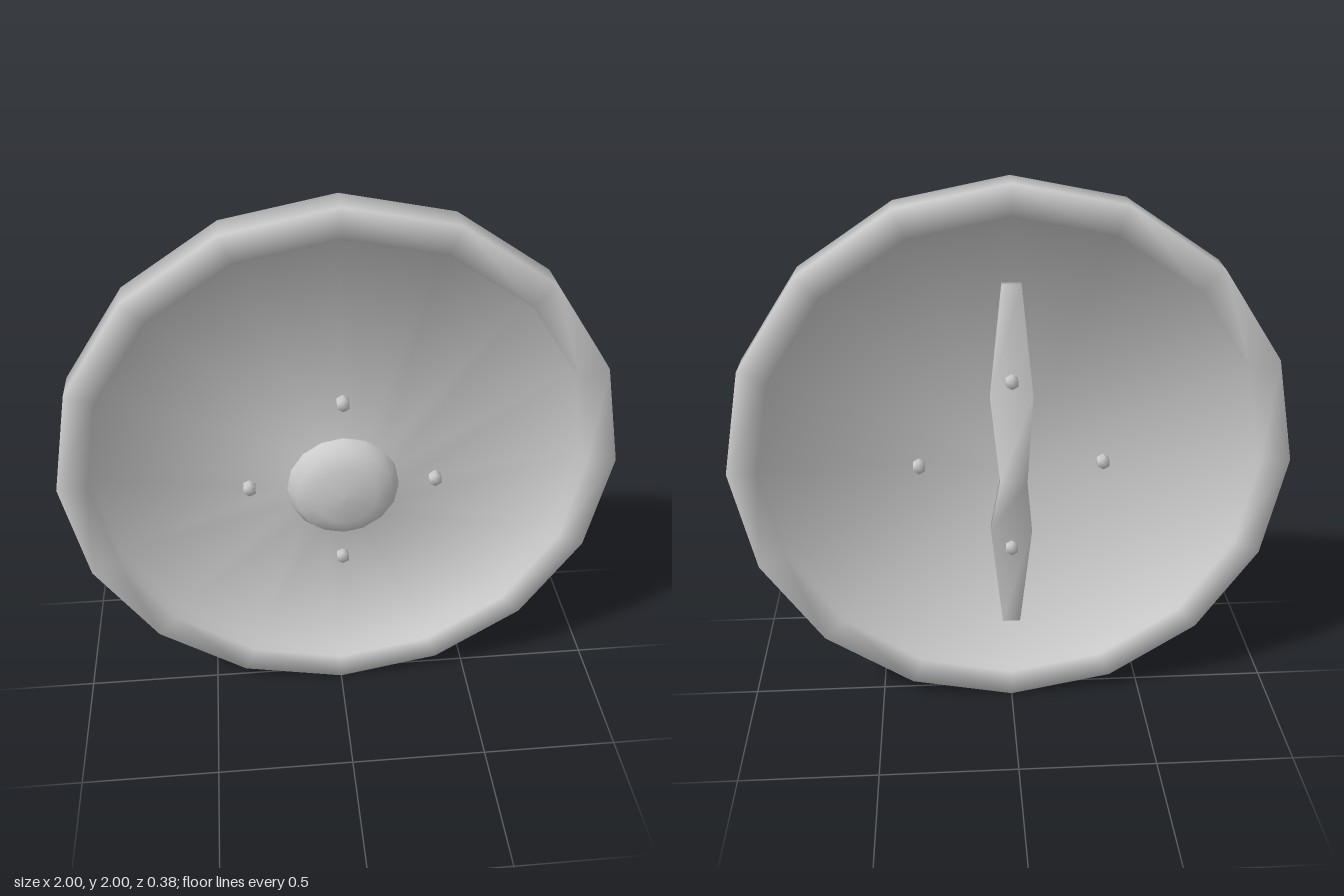
import * as THREE from 'three';
import { mergeVertices } from 'three/addons/utils/BufferGeometryUtils.js';

const SIDES = 16;

// Weld all corners so that shading runs smoothly over them
function smooth(geometry) {
  geometry.deleteAttribute('normal');
  geometry.deleteAttribute('uv');
  const welded = mergeVertices(geometry, 1e-4);
  welded.computeVertexNormals();
  return welded;
}

// Turn a [radius, z] profile around the front-to-back axis; each corner's
// normal is the even average of the two faces that meet there
function turned(profile) {
  const points = profile.map(([r, z]) => new THREE.Vector2(r, z));
  const geometry = new THREE.LatheGeometry(points, SIDES);
  const faces = points.slice(1).map((p, j) => {
    const d = p.clone().sub(points[j]).normalize();
    return new THREE.Vector2(d.y, -d.x);
  });
  const corners = points.map((p, j) => {
    const before = faces[Math.max(j - 1, 0)];
    const after = faces[Math.min(j, faces.length - 1)];
    return before.clone().add(after).normalize();
  });
  const normal = geometry.attributes.normal;
  for (let k = 0; k < normal.count; k++) {
    const n = corners[k % points.length];
    const phi = (Math.floor(k / points.length) * Math.PI * 2) / SIDES;
    normal.setXYZ(k, n.x * Math.sin(phi), n.y, n.x * Math.cos(phi));
  }
  return geometry.rotateX(Math.PI / 2);
}

export function createModel() {
  const model = new THREE.Group();
  const grey = new THREE.MeshStandardMaterial({ color: 0xcccccc });

  function add(name, geometry) {
    const mesh = new THREE.Mesh(geometry, grey);
    mesh.name = name;
    mesh.position.y = 1;
    model.add(mesh);
    return mesh;
  }

  // Board with a raised square rim: flat back, rim, then the coned front
  add('board', turned([
    [0, -0.03], [0.893, -0.03],
    [0.893, -0.07], [1, -0.07], [1, 0.05], [0.893, 0.05],
    [0.893, -0.024], [0.2, 0.11], [0, 0.12],
  ]));

  // Domed boss in the middle of the front
  add('boss', turned([[0.198, 0.1], [0.195, 0.125], [0.17, 0.16], [0.11, 0.188], [0, 0.193]]));

  // Bent strap handle: [y, half width, back z, thickness] for each cross-section
  const rows = [
    [-0.665, 0.033, -0.055, 0.04], [-0.265, 0.075, -0.065, 0.045], [0, 0.047, -0.19, 0.038],
    [0.265, 0.075, -0.065, 0.045], [0.665, 0.033, -0.055, 0.04],
  ];
  const strap = new THREE.BoxGeometry(2, 4, 2, 1, 4, 1);
  const pos = strap.attributes.position;
  for (let i = 0; i < pos.count; i++) {
    const [y, halfWidth, back, thickness] = rows[Math.round(pos.getY(i)) + 2];
    const z = pos.getZ(i) > 0 ? back + thickness : back;
    pos.setXYZ(i, pos.getX(i) * halfWidth, y, z);
  }
  add('handle', smooth(strap));

  // Four rivets through the board; the upper and lower ones also pass the handle
  for (let i = 0; i < 4; i++) {
    const angle = (i * Math.PI) / 2;
    const back = i % 2 ? -0.09 : -0.06;
    const front = 0.115;
    const rivet = new THREE.CylinderGeometry(0.024, 0.024, front - back, 6).rotateX(Math.PI / 2);
    const mesh = add('rivet', smooth(rivet));
    mesh.position.set(0.328 * Math.cos(angle), 1 + 0.328 * Math.sin(angle), (front + back) / 2);
  }

  return model;
}
